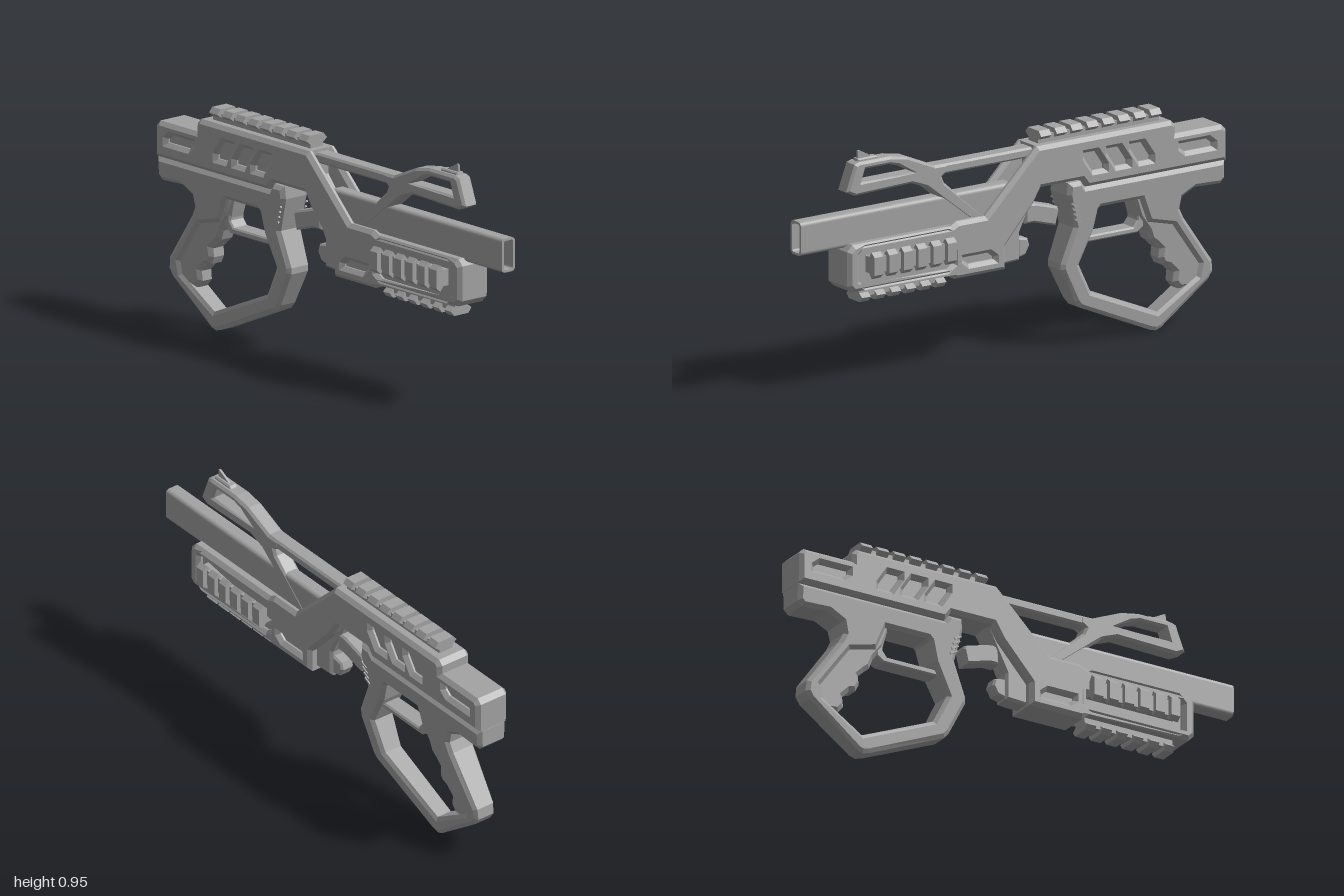
import * as THREE from 'three';

const metal = new THREE.MeshStandardMaterial({ color: 0xa3a3a3 });
metal.name = 'grey metal';

const toPath = (pts, Kind = THREE.Shape) => new Kind(pts.map(([x, y]) => new THREE.Vector2(x, y)));

// Chamfered slab between z0 and z1, whose widest outline is the given one
function slab(pts, z0, z1, bevel, holes = []) {
  const shape = toPath(pts);
  shape.holes = holes.map((h) => toPath(h, THREE.Path));
  const geo = new THREE.ExtrudeGeometry(shape, {
    depth: z1 - z0 - 2 * bevel, bevelEnabled: bevel > 0, bevelSize: bevel,
    bevelThickness: bevel, bevelOffset: -bevel, bevelSegments: 1, curveSegments: 5,
  });
  return geo.translate(0, 0, z0 + bevel);
}

// Narrows a slab in z toward its foot
function taper(geo, foot, slope, base) {
  const p = geo.attributes.position;
  for (let i = 0; i < p.count; i++) p.setZ(i, p.getZ(i) * (foot + slope * p.getY(i)) / base);
  geo.computeVertexNormals();
  return geo;
}

// Slot with leaning or pointed ends
const slant = (x) => [[x, 0.705], [x + 0.055, 0.705], [x + 0.095, 0.765], [x + 0.095, 0.782],
  [x + 0.04, 0.782], [x, 0.722]];
const vent = (x0, x1, y0, y1) => [[x0, y0], [x1 - 0.025, y0], [x1, y0 + 0.02], [x1, y1],
  [x0 + 0.025, y1], [x0, y1 - 0.02]];

export function createModel() {
  const model = new THREE.Group();
  const add = (name, geo, parent = model) => {
    const mesh = new THREE.Mesh(geo, metal);
    mesh.name = name;
    parent.add(mesh);
    return mesh;
  };

  // Body: slotted side shells over a solid core that is open above the neck
  const underside = [[-1, 0.645], [-0.335, 0.645], [-0.31, 0.678], [-0.12, 0.678], [-0.085, 0.62],
    [0.05, 0.47], [0.05, 0.375], [0.29, 0.375], [0.32, 0.4], [0.775, 0.4], [0.8, 0.425]];
  const rearTop = [[-0.74, 0.845], [-0.76, 0.825], [-0.76, 0.79], [-0.98, 0.79], [-1, 0.77]];
  const shellOutline = [...underside, [0.8, 0.565], [0.775, 0.59], [0.31, 0.59], [0.28, 0.605],
    [0.145, 0.605], [-0.1, 0.845], ...rearTop];
  const coreOutline = [...underside, [0.8, 0.565], [0.775, 0.59], [0.06, 0.59], [0.02, 0.6],
    [-0.1, 0.74], [-0.1, 0.845], ...rearTop];
  const railWindow = [[0.3, 0.44], [0.33, 0.42], [0.72, 0.42], [0.745, 0.44], [0.745, 0.545],
    [0.72, 0.57], [0.33, 0.57], [0.3, 0.545]];
  const slots = [slant(-0.64), slant(-0.53), slant(-0.42),
    vent(-0.935, -0.78, 0.71, 0.745), vent(0.105, 0.25, 0.425, 0.455), railWindow];
  add('bodyCore', slab(coreOutline, -0.053, 0.053, 0));
  add('leftShell', slab(shellOutline, 0.034, 0.077, 0.016, slots));
  add('rightShell', slab(shellOutline, -0.077, -0.034, 0.016, slots));

  // Lower receiver and closed grip frame, tapering to the foot
  const frame = [[-0.98, 0.55], [-0.86, 0.555], [-0.8, 0.525], [-0.79, 0.48], [-0.81, 0.44],
    [-0.95, 0.245], [-0.955, 0.2], [-0.935, 0.17], [-0.715, 0.008], [-0.69, 0], [-0.66, 0.008],
    [-0.32, 0.155], [-0.3, 0.18], [-0.23, 0.32], [-0.23, 0.345], [-0.285, 0.485], [-0.25, 0.62],
    [-0.255, 0.67], [-0.315, 0.67], [-0.335, 0.643], [-1, 0.643], [-1, 0.57]];
  const frameHole = [[-0.6, 0.55], [-0.64, 0.45], [-0.76, 0.42], [-0.89, 0.24], [-0.88, 0.19],
    [-0.695, 0.075], [-0.375, 0.21], [-0.315, 0.33], [-0.38, 0.46], [-0.4, 0.54], [-0.41, 0.55]];
  add('gripFrame', taper(slab(frame, -0.07, 0.07, 0.016, [frameHole]), 0.038, 0.05, 0.07));

  // Finger-grooved grip insert
  const grip = [[-0.74, 0.52], [-0.8, 0.42], [-0.92, 0.235], [-0.91, 0.18], [-0.85, 0.145],
    [-0.8, 0.15], [-0.775, 0.18], [-0.78, 0.22], [-0.75, 0.25], [-0.72, 0.26], [-0.705, 0.29],
    [-0.71, 0.325], [-0.685, 0.35], [-0.66, 0.37], [-0.645, 0.41], [-0.6, 0.47], [-0.57, 0.58]];
  add('gripInsert', taper(slab(grip, -0.05, 0.05, 0.018), 0.03, 0.035, 0.05));

  // Bar across the frame opening
  add('crossBar', slab([[-0.63, 0.43], [-0.6, 0.41], [-0.34, 0.41], [-0.34, 0.435],
    [-0.58, 0.435], [-0.6, 0.46], [-0.6, 0.51], [-0.63, 0.51]], -0.038, 0.038, 0.006));

  // Small ridges on the upper front post
  for (const side of [-1, 1]) {
    for (let i = 0; i < 4; i++) {
      const ridge = add('postRidge', new THREE.BoxGeometry(0.035, 0.008, 0.008));
      ridge.position.set(-0.297 + i * 0.006, 0.515 + i * 0.022, side * (0.064 + i * 0.001));
      ridge.rotation.z = 0.5;
    }
  }

  // Trigger pieces beneath the neck
  add('triggerHousing', slab([[-0.13, 0.69], [-0.04, 0.5], [-0.04, 0.39], [0.06, 0.385],
    [0.1, 0.5], [0.0, 0.62]], -0.04, 0.04, 0.01));
  add('triggerBlock', slab([[-0.215, 0.5], [-0.11, 0.53], [-0.07, 0.53], [-0.07, 0.61],
    [-0.12, 0.605], [-0.225, 0.575], [-0.23, 0.56]], -0.035, 0.035, 0.008));
  add('triggerCatch', slab([[-0.075, 0.405], [-0.035, 0.395], [-0.035, 0.48], [-0.085, 0.47],
    [-0.095, 0.44]], -0.03, 0.03, 0.008));

  // Hollow rounded rectangular barrel
  const roundRect = (Kind, w, y0, y1, r) => {
    const s = new Kind();
    s.moveTo(-w + r, y0).lineTo(w - r, y0);
    s.absarc(w - r, y0 + r, r, -Math.PI / 2, 0);
    s.absarc(w - r, y1 - r, r, 0, Math.PI / 2);
    s.absarc(-w + r, y1 - r, r, Math.PI / 2, Math.PI);
    s.absarc(-w + r, y0 + r, r, Math.PI, Math.PI * 1.5);
    return s;
  };
  const tube = roundRect(THREE.Shape, 0.034, 0.573, 0.71, 0.018);
  tube.holes = [roundRect(THREE.Path, 0.024, 0.583, 0.7, 0.01)];
  const barrel = new THREE.ExtrudeGeometry(tube, { depth: 1, bevelEnabled: false, curveSegments: 5 });
  add('barrel', barrel.rotateY(Math.PI / 2));

  // Sight arm with its support rod
  add('sightRod', slab([[-0.13, 0.795], [0.4, 0.795], [0.4, 0.835], [-0.13, 0.835]], -0.034, 0.034, 0.008));
  add('sightArm', slab([[0.13, 0.595], [0.2, 0.595], [0.4, 0.755], [0.47, 0.782], [0.74, 0.775],
    [0.78, 0.795], [0.74, 0.9], [0.72, 0.907], [0.57, 0.907], [0.49, 0.892], [0.36, 0.836],
    [0.3, 0.835], [0.3, 0.8], [0.325, 0.785], [0.315, 0.76]], -0.036, 0.036, 0.01,
  [[[0.46, 0.825], [0.535, 0.865], [0.575, 0.876], [0.69, 0.876], [0.708, 0.825]]]));
  add('sightBase', slab([[0.61, 0.9], [0.72, 0.9], [0.715, 0.917], [0.625, 0.917]], -0.018, 0.018, 0.005));
  add('sightFin', slab([[0.63, 0.91], [0.71, 0.91], [0.708, 0.947], [0.7, 0.947]], -0.005, 0.005, 0.001));

  // Accessory rails: a base strip with a row of dovetail teeth
  const tooth = [[-0.03, 0], [0.03, 0], [0.053, 0.018], [0.036, 0.038], [-0.036, 0.038], [-0.053, 0.018]];
  const addRail = (name, x, y, z, count, pitch, width, turn) => {
    const rail = new THREE.Group();
    rail.name = name;
    const length = (count - 1) * pitch + width;
    add('railBase', new THREE.BoxGeometry(length, 0.045, 0.066).translate(length / 2, -0.004, 0), rail);
    for (let i = 0; i < count; i++) {
      add('railTooth', slab(tooth, 0, width, 0).rotateY(Math.PI / 2).translate(i * pitch, 0, 0), rail);
    }
    rail.position.set(x, y, z);
    rail.rotation.x = turn;
    model.add(rail);
  };
  addRail('topRail', -0.705, 0.858, 0, 8, 0.075, 0.05, 0);
  addRail('leftRail', 0.315, 0.503, 0.077, 6, 0.07, 0.042, Math.PI / 2);
  addRail('rightRail', 0.315, 0.503, -0.077, 6, 0.07, 0.042, -Math.PI / 2);
  addRail('bottomRail', 0.32, 0.384, 0, 6, 0.072, 0.042, Math.PI);

  return model;
}
